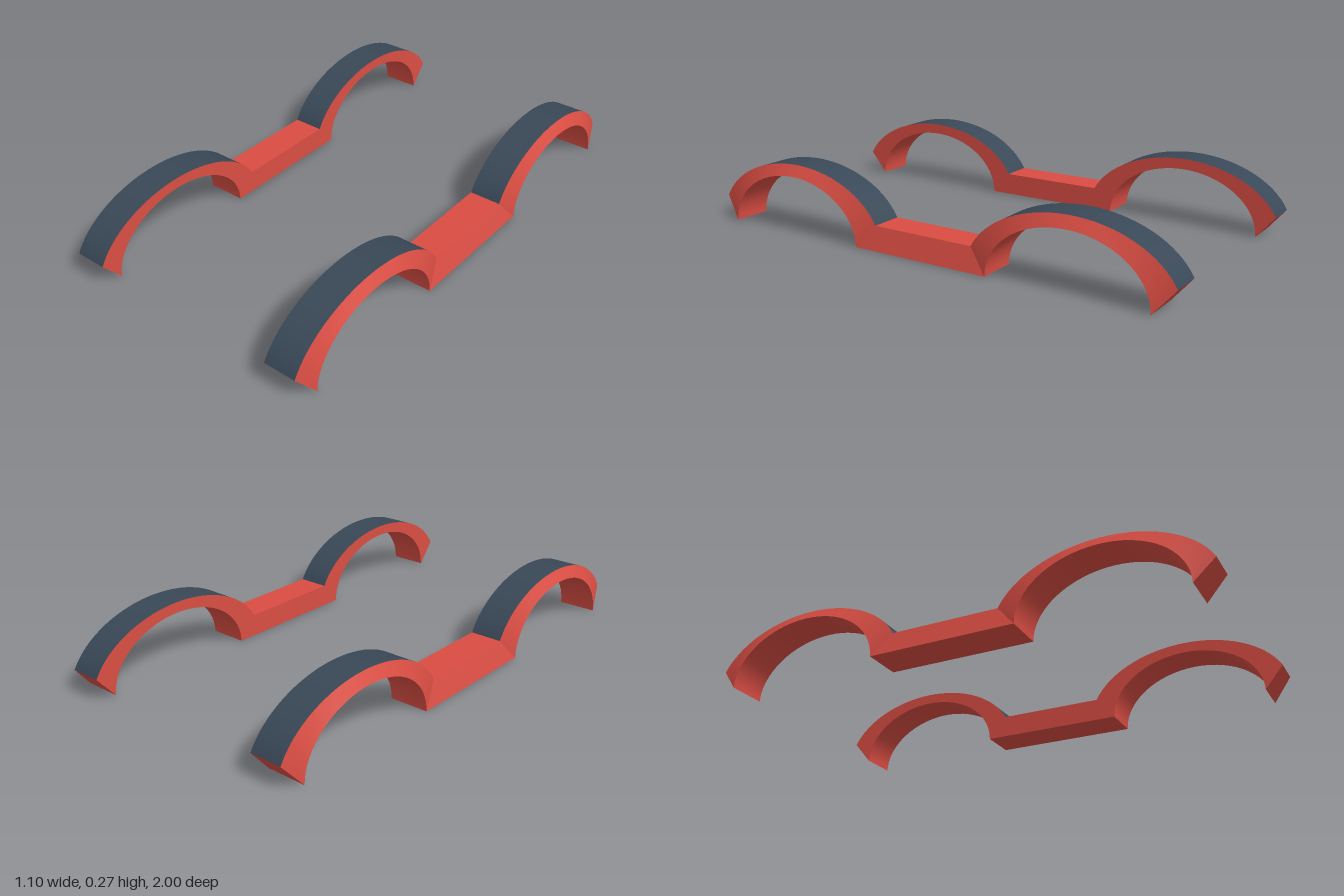
import * as THREE from 'three';

const IN = 0.393, SHOULDER = 0.523, OUT = 0.55; // x of inner face, top edge and outer rim
const ARCH_Z = 0.608, SEGMENTS = 32;

// Four corners of a section: top inner, top outer, bottom outer, bottom inner
const ring = (zTop, yTop, zLow, yLow) => [
  [IN, yTop, zTop], [SHOULDER, yTop, zTop], [OUT, yLow, zLow], [IN, yLow, zLow],
];

// Skins a row of sections with hard edges between the four sides.
// Group 0 is the top side, group 1 the other sides and the optional end cap.
function loft(sections, sx, sz, capped) {
  const pos = [], idx = [];
  const flip = sx * sz < 0;
  const add = ([x, y, z]) => pos.push(x * sx, y, z * sz);
  const tri = (a, b, c) => (flip ? idx.push(a, c, b) : idx.push(a, b, c));
  for (let side = 0; side < 4; side++) {
    const base = pos.length / 3;
    sections.forEach((s) => { add(s[side]); add(s[(side + 1) % 4]); });
    for (let i = 0; i < sections.length - 1; i++) {
      const a = base + i * 2;
      tri(a, a + 1, a + 2);
      tri(a + 1, a + 3, a + 2);
    }
  }
  const topCount = (sections.length - 1) * 6;
  if (capped) {
    const base = pos.length / 3;
    sections[0].forEach(add);
    tri(base, base + 2, base + 1);
    tri(base, base + 3, base + 2);
  }
  const g = new THREE.BufferGeometry();
  g.setAttribute('position', new THREE.Float32BufferAttribute(pos, 3));
  g.setIndex(idx);
  g.addGroup(0, topCount, 0);
  g.addGroup(topCount, idx.length - topCount, 1);
  g.computeVertexNormals();
  return g;
}

// Wheel arch: a cut elliptical outer curve over a half ellipse
function archSections() {
  const start = Math.asin(0.09 / 0.27);
  return Array.from({ length: SEGMENTS + 1 }, (_, i) => {
    const f = i / SEGMENTS;
    const t = start + f * (Math.PI - 2 * start), u = f * Math.PI;
    return ring(
      ARCH_Z + 0.416 * Math.cos(t), 0.27 * Math.sin(t),
      ARCH_Z + 0.316 * Math.cos(u), 0.228 * Math.sin(u),
    );
  });
}

export function createModel() {
  const red = new THREE.MeshStandardMaterial({ color: 0xd94d43 });
  red.name = 'red body';
  const slate = new THREE.MeshStandardMaterial({ color: 0x394857 });
  slate.name = 'slate top';

  const model = new THREE.Group();
  model.name = 'fenders';
  const arch = archSections();
  const bar = [ring(0.216, 0.09, 0.292, 0), ring(-0.216, 0.09, -0.292, 0)];

  for (const [sx, sideName] of [[1, 'left'], [-1, 'right']]) {
    const fender = new THREE.Group();
    fender.name = `${sideName}Fender`;
    for (const [sz, endName] of [[1, 'front'], [-1, 'rear']]) {
      const mesh = new THREE.Mesh(loft(arch, sx, sz, true), [slate, red]);
      mesh.name = `${endName}WheelArch`;
      fender.add(mesh);
    }
    // Sill joining the two arches
    const sill = new THREE.Mesh(loft(bar, sx, 1, false), red);
    sill.name = 'sill';
    fender.add(sill);
    model.add(fender);
  }
  return model;
}
